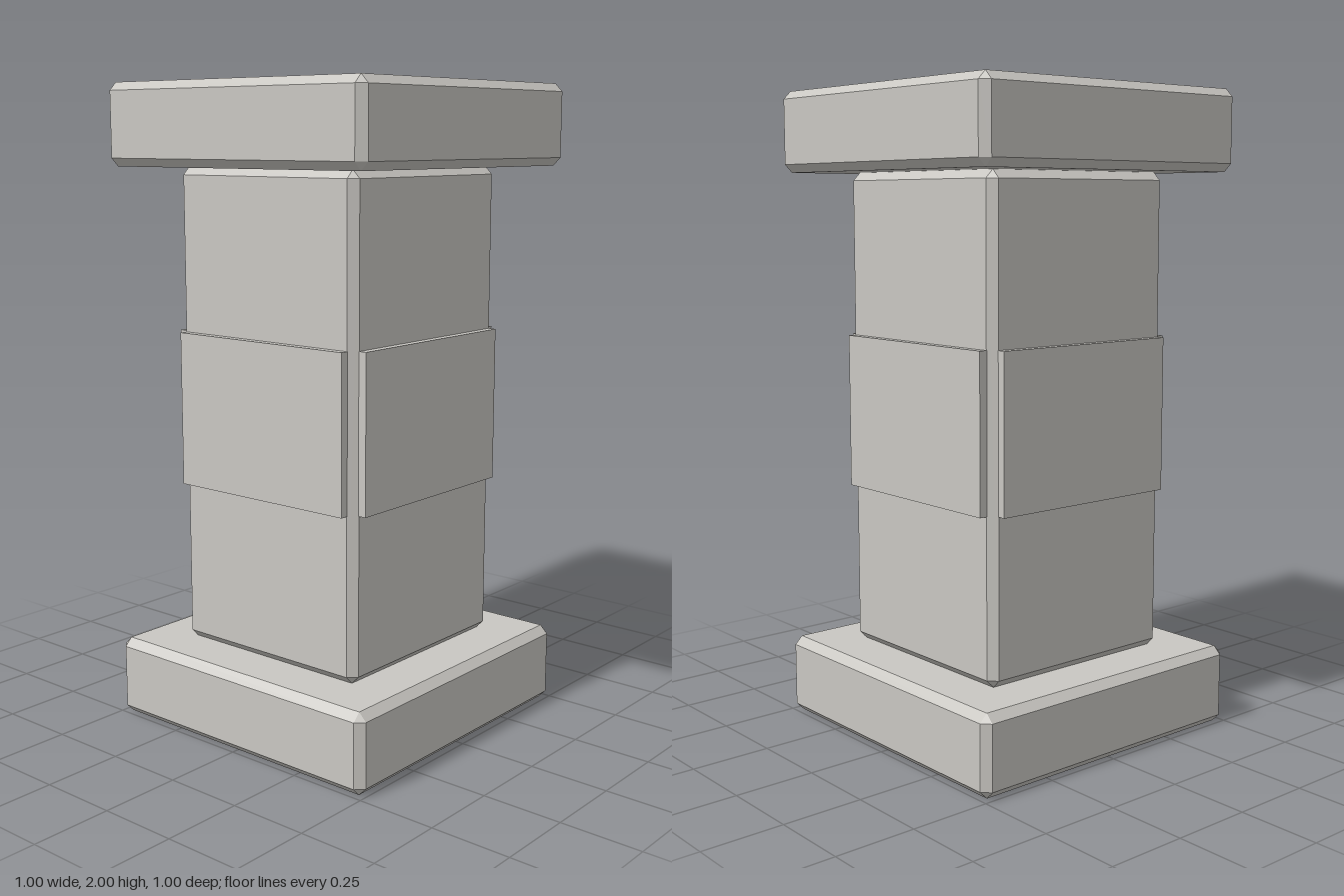
import * as THREE from 'three';
import { ConvexGeometry } from 'three/addons/geometries/ConvexGeometry.js';

const CHAMFER = 0.025;

// Box with every edge and corner cut at 45 degrees
function chamferedBox(width, height, depth, c = CHAMFER) {
  const points = [];
  for (const sx of [-1, 1]) for (const sy of [-1, 1]) for (const sz of [-1, 1]) {
    const x = width / 2, y = height / 2, z = depth / 2;
    points.push(
      new THREE.Vector3(sx * x, sy * (y - c), sz * (z - c)),
      new THREE.Vector3(sx * (x - c), sy * y, sz * (z - c)),
      new THREE.Vector3(sx * (x - c), sy * (y - c), sz * z),
    );
  }
  return new ConvexGeometry(points);
}

export function createModel() {
  const model = new THREE.Group();
  model.name = 'pillar';
  const stone = new THREE.MeshStandardMaterial({ color: 0xc9c7c2, flatShading: true });
  stone.name = 'stone';

  function add(name, geometry, y) {
    const mesh = new THREE.Mesh(geometry, stone);
    mesh.name = name;
    mesh.position.y = y;
    model.add(mesh);
    return mesh;
  }

  // Base, shaft and capital
  const slab = chamferedBox(1, 0.25, 1);
  add('base', slab, 0.125);
  add('shaft', chamferedBox(0.696, 1.5, 0.696), 1);
  add('capital', slab, 1.875);

  // One raised panel on the flat of each shaft side
  const panel = new THREE.BoxGeometry(0.648, 0.48, 0.05);
  panel.translate(0, 0, 0.348);
  ['frontPanel', 'leftPanel', 'backPanel', 'rightPanel'].forEach((name, i) => {
    add(name, panel, 1.004).rotation.y = i * Math.PI / 2;
  });

  return model;
}
